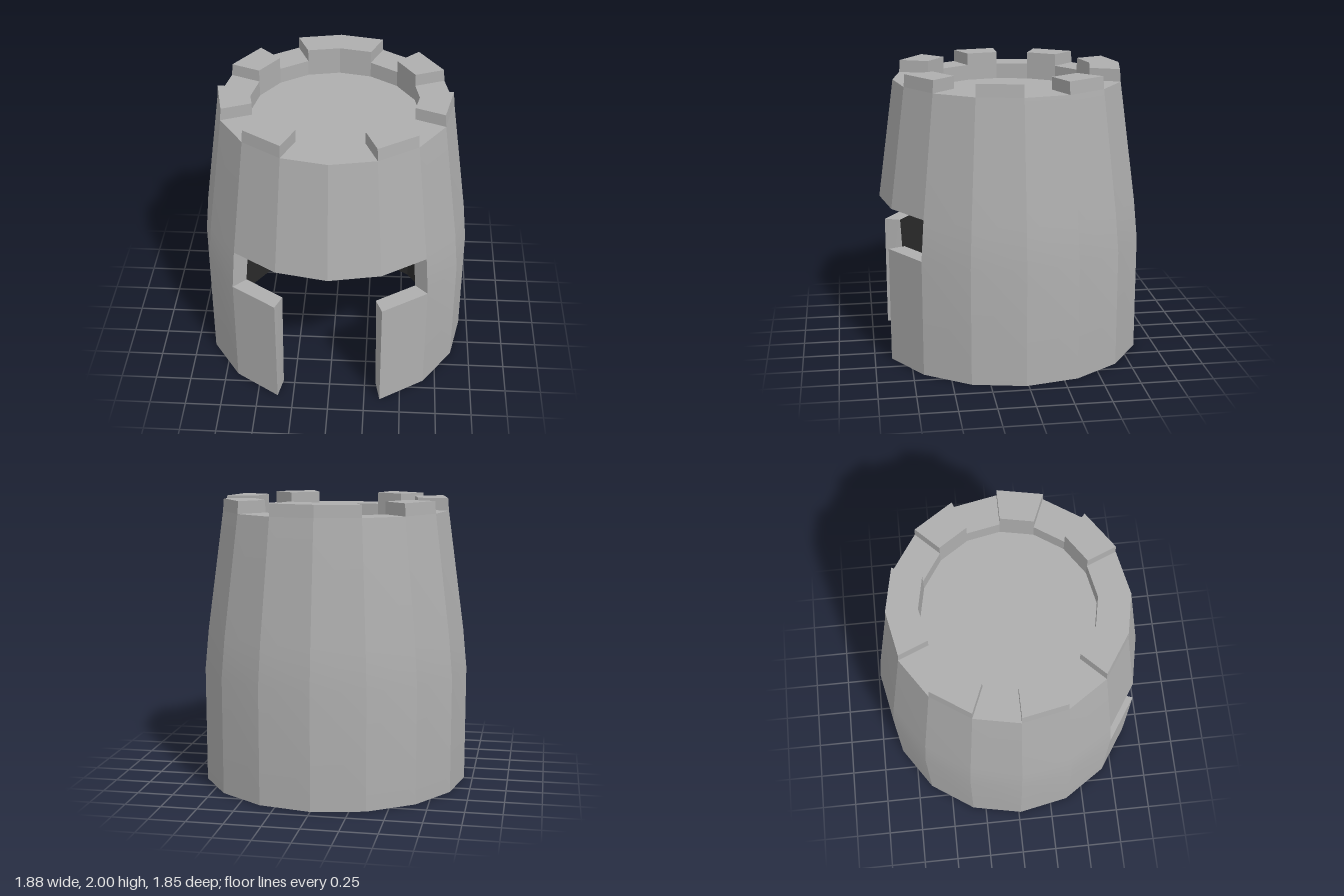
import * as THREE from 'three';
import { mergeGeometries, toCreasedNormals } from 'three/addons/utils/BufferGeometryUtils.js';

const STEP = Math.PI / 8; // sixteen-sided tower, sector 0 starts at the front
const CREASE = 0.25; // smooth up the wall, sharp between the sides

const stone = new THREE.MeshStandardMaterial({ color: 0xaeaeae });
const dark = new THREE.MeshStandardMaterial({ color: 0x292929 });

// Sweeps a [radius, height] path (counterclockwise) over whole sectors
const lathe = (path, first, sectors) => new THREE.LatheGeometry(
  path.map(([r, y]) => new THREE.Vector2(r, y)), sectors, first * STEP, sectors * STEP);

// Flat caps that close both ends of a swept outline
function endCaps(outline, first, sectors) {
  const start = new THREE.ShapeGeometry(new THREE.Shape(outline.map(([r, y]) => new THREE.Vector2(r, y))));
  const end = start.clone();
  end.index.array.reverse();
  start.rotateY(first * STEP - Math.PI / 2);
  end.rotateY((first + sectors) * STEP - Math.PI / 2);
  return [start, end];
}

// Turns the inner door edges slightly, leaving the doorway wider at the ground
function shapeDoorway(geometry) {
  const p = geometry.attributes.position;
  for (let i = 0; i < p.count; i++) {
    if (Math.abs(p.getX(i)) < 0.35) p.setX(i, Math.sign(p.getX(i)) * (0.33 - 0.018 * p.getY(i)));
  }
}

export function createModel() {
  const group = new THREE.Group();
  group.name = 'tower';

  const addMesh = (name, geometry, material) => {
    const mesh = new THREE.Mesh(toCreasedNormals(geometry, CREASE), material);
    mesh.name = name;
    mesh.position.z = 0.015;
    group.add(mesh);
  };

  // Stone shell with a dark inner face; both paths together form the closed outline
  const addWall = (name, outer, inner, first, sectors, reshape = () => {}) => {
    const shell = mergeGeometries([
      lathe([inner.at(-1), ...outer, inner[0]], first, sectors),
      ...endCaps([...outer, ...inner], first, sectors),
    ]);
    const lining = lathe(inner, first, sectors);
    reshape(shell);
    reshape(lining);
    addMesh(name, shell, stone);
    addMesh(name + 'Lining', lining, dark);
  };

  // Upper wall and sunken roof, and the ceiling below it
  const roof = [[0.912, 1.09], [0.797, 1.915], [0.58, 1.915], [0.58, 1.805], [0, 1.805]];
  const ceiling = [[0, 1.74], [0.72, 1.74]];
  const lowOuter = [[0.94, 0], [0.94, 0.81]];
  const lowInner = [[0.82, 0.81], [0.775, 0]];

  // Hollow wall around the sides and back, leaving four sectors open at the front
  addWall('mainWall', [...lowOuter, ...roof], [...ceiling, ...lowInner], 2, 12);

  // Wall above the wide front opening
  addWall('frontUpperWall', roof, [...ceiling, [0.795, 1.08]], -2, 4);

  // Low walls on either side of the doorway
  addWall('leftDoorWall', lowOuter, lowInner, 1, 1, shapeDoorway);
  addWall('rightDoorWall', lowOuter, lowInner, -2, 1, shapeDoorway);

  // Battlements, with a double-width block at the back
  const block = [[0.797, 1.915], [0.79, 2], [0.58, 2], [0.58, 1.915]];
  const addBlock = (name, first, sectors) => addMesh(name, mergeGeometries([
    lathe([...block, block[0]], first, sectors),
    ...endCaps(block, first, sectors),
  ]), stone);
  for (const sector of [1, 3, 5]) {
    addBlock('leftBattlement', sector, 1);
    addBlock('rightBattlement', 15 - sector - 1 + 1, 1);
  }
  addBlock('backBattlement', 7, 2);

  return group;
}
